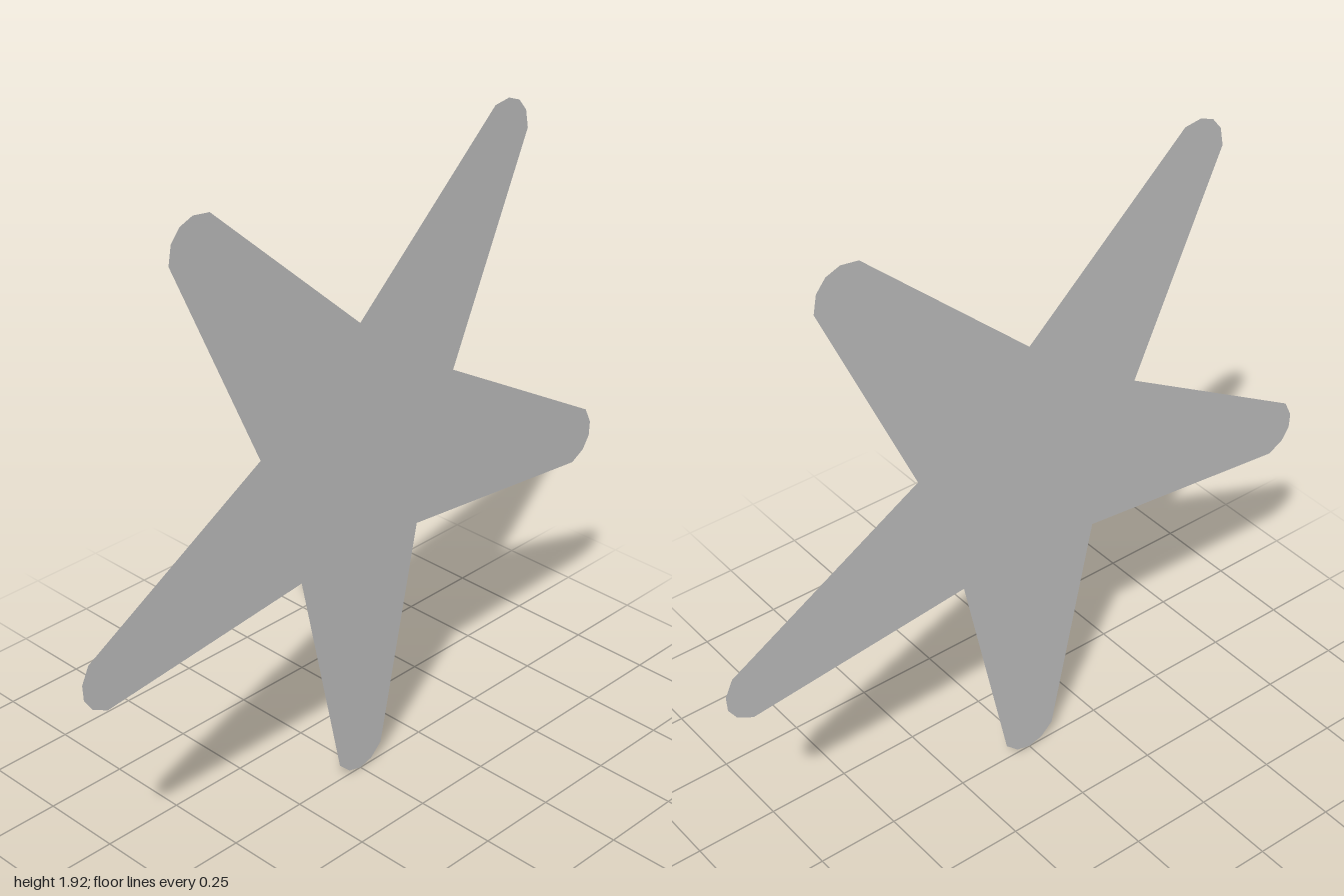
import * as THREE from 'three';

const CENTRE_Y = 1.05;
const DEPTH = 0.2;

// One arm pointing down, relative to the centre: inner corner, then the rounded tip
const ARM = [
  [-0.229, -0.316], [-0.085, -1.0], [-0.045, -1.038],
  [0, -1.05], [0.045, -1.038], [0.085, -1.0],
];

// Counter-clockwise outline of five arms
function starOutline() {
  const points = [];
  for (let i = 0; i < 5; i++) {
    const turn = (i * Math.PI * 2) / 5;
    for (const [x, y] of ARM) {
      points.push(new THREE.Vector2(x, y).rotateAround(new THREE.Vector2(), turn));
    }
  }
  return points;
}

// Fan from a raised centre point to the thin rim, softly shaded as one surface
function starHalf(side) {
  const outline = starOutline();
  const positions = [0, 0, side * DEPTH];
  const normals = [0, 0, side];
  const index = [];
  outline.forEach((p, i) => {
    positions.push(p.x, p.y, 0);
    normals.push(0, 0, side);
    const a = i + 1;
    const b = ((i + 1) % outline.length) + 1;
    index.push(0, ...(side > 0 ? [a, b] : [b, a]));
  });
  const geometry = new THREE.BufferGeometry();
  geometry.setAttribute('position', new THREE.Float32BufferAttribute(positions, 3));
  geometry.setAttribute('normal', new THREE.Float32BufferAttribute(normals, 3));
  geometry.setIndex(index);
  return geometry;
}

export function createModel() {
  const group = new THREE.Group();
  group.name = 'star';
  const grey = new THREE.MeshStandardMaterial({ color: 0xbbbbbb });
  grey.name = 'light grey';

  // Mirrored front and back halves meeting at the rim
  for (const [name, side] of [['frontHalf', 1], ['backHalf', -1]]) {
    const half = new THREE.Mesh(starHalf(side), grey);
    half.name = name;
    half.position.y = CENTRE_Y;
    group.add(half);
  }
  return group;
}
